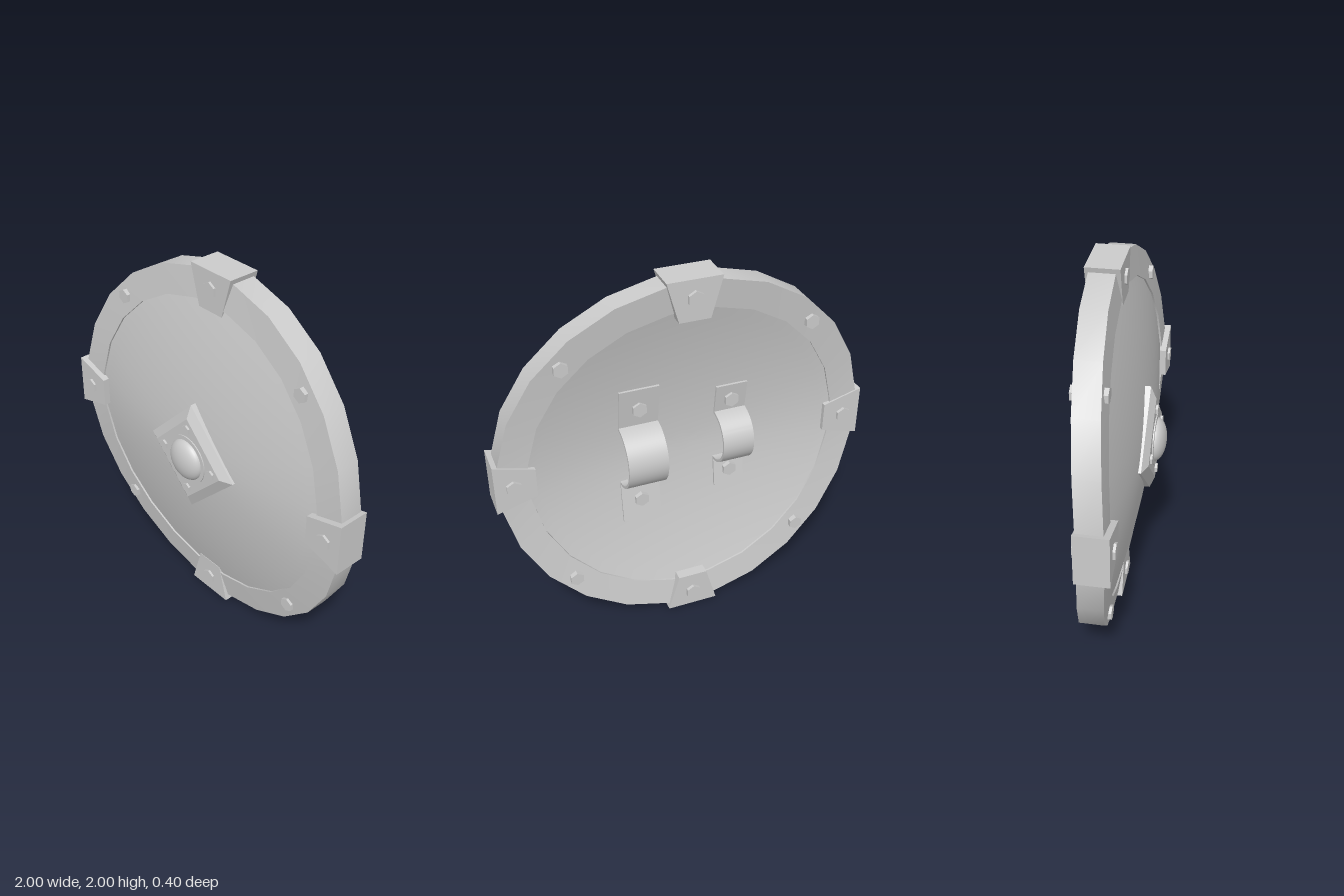
import * as THREE from 'three';
import { toCreasedNormals } from 'three/addons/utils/BufferGeometryUtils.js';

const material = new THREE.MeshStandardMaterial({ color: 0xcccccc });
const SIDES = 24;
const CENTRE_Y = 1;

// The whole shield bows backwards towards its top and bottom.
const bend = (y) => -0.1 * Math.pow(Math.abs(y), 1.5);

function bendGeometry(geometry) {
  const p = geometry.attributes.position;
  for (let i = 0; i < p.count; i++) p.setZ(i, p.getZ(i) + bend(p.getY(i)));
  return geometry;
}

// Revolves a list of [radius, z] about the z axis.
function turned(profile, sides) {
  const points = profile.map(([r, z]) => new THREE.Vector2(r, z));
  return new THREE.LatheGeometry(points, sides, Math.PI / sides).rotateX(Math.PI / 2);
}

export function createModel() {
  const model = new THREE.Group();
  model.name = 'roundShield';
  const shield = new THREE.Group();
  shield.name = 'shield';
  shield.position.y = CENTRE_Y;
  model.add(shield);

  function add(name, geometry, x = 0, y = 0, z = 0) {
    const mesh = new THREE.Mesh(geometry, material);
    mesh.name = name;
    mesh.position.set(x, y, z);
    shield.add(mesh);
    return mesh;
  }

  // Hexagonal bolt running from z0 to z1
  function bolt(name, x, y, z0, z1, radius) {
    const g = new THREE.CylinderGeometry(radius, radius, z1 - z0, 6).rotateX(Math.PI / 2);
    add(name, toCreasedNormals(g, 0.5), x, y, (z0 + z1) / 2);
  }

  // Domed body: back face from the centre out, then front face back in
  const back = [], front = [];
  const RINGS = 12, BODY_RADIUS = 0.85;
  for (let i = 0; i <= RINGS; i++) {
    const r = (BODY_RADIUS * i) / RINGS;
    const drop = 0.06 * (r / 0.83) ** 2;
    back.push([r, -drop]);
    front.unshift([r, 0.11 - drop]);
  }
  add('body', toCreasedNormals(bendGeometry(turned([...back, ...front], SIDES)), 0.6));

  // Rim
  const rim = turned([[0.83, -0.07], [0.983, -0.07], [0.983, 0.06], [0.83, 0.06], [0.83, -0.07]], SIDES);
  add('rim', toCreasedNormals(bendGeometry(rim), 0.6));

  // Four tapered clamps over the rim, each with a bolt through it
  const wedge = new THREE.Shape([
    new THREE.Vector2(-0.08, 0.79), new THREE.Vector2(0.08, 0.79),
    new THREE.Vector2(0.14, 1), new THREE.Vector2(-0.14, 1),
  ]);
  for (let i = 0; i < 4; i++) {
    const a = (i * Math.PI) / 2;
    const x = -Math.sin(a) * 0.905, y = Math.cos(a) * 0.905;
    const z = bend(Math.cos(a));
    const g = new THREE.ExtrudeGeometry(wedge, { depth: 0.17, bevelEnabled: false });
    g.translate(0, 0, -0.085).rotateZ(a);
    add('clamp', g, 0, 0, z + 0.002);
    bolt('clampBolt', x, y, z - 0.1, z + 0.1, 0.042);
  }

  // Rim bolts between the clamps
  for (const sx of [-1, 1]) {
    for (const sy of [-1, 1]) {
      const z = bend(0.64) - 0.007;
      bolt('rimBolt', sx * 0.64, sy * 0.64, z - 0.088, z + 0.085, 0.039);
    }
  }

  // Bevelled diamond plate; four-sided turning starts on a corner
  const plate = turned([[0.315, 0.05], [0.315, 0.115], [0.245, 0.143], [0, 0.143]], 4);
  plate.rotateZ(Math.PI / 4);
  add('bossPlate', toCreasedNormals(plate, 0.2));

  // Collar and domed boss
  add('bossCollar', toCreasedNormals(turned([[0.137, 0.13], [0.137, 0.149], [0, 0.149]], 32), 0.5));
  const dome = new THREE.SphereGeometry(0.115, 32, 10, 0, Math.PI * 2, 0, Math.PI / 2);
  dome.rotateX(Math.PI / 2).scale(1, 1, 0.5);
  add('bossDome', dome, 0, 0, 0.143);

  // Boss bolts
  for (const [x, y] of [[1, 0], [-1, 0], [0, 1], [0, -1]]) {
    bolt('bossBolt', x * 0.182, y * 0.182, 0.12, 0.155, 0.027);
  }

  // Arm strap and hand grip: an arched band with a bolted foot at each end
  function strap(name, x, width, radius, reach, boltY) {
    const outer = (y) => 0.002 + 0.15 * y;
    const thick = 0.014, inner = radius - thick, c = 0.012;
    const tip = Math.asin(0.99);
    const s = new THREE.Shape();
    s.moveTo(outer(reach), reach);
    s.lineTo(outer(radius), radius);
    s.absarc(c, 0, radius, tip, -tip, true);
    s.lineTo(outer(radius), -radius);
    s.lineTo(outer(reach), -reach);
    s.lineTo(outer(reach) - thick, -reach);
    s.lineTo(c, -inner);
    s.absarc(c, 0, inner, -Math.PI / 2, Math.PI / 2, false);
    s.lineTo(outer(reach) - thick, reach);
    const g = new THREE.ExtrudeGeometry(s, { depth: width, bevelEnabled: false, curveSegments: 20 });
    g.translate(0, 0, -width / 2).rotateY(Math.PI / 2);
    add(name, toCreasedNormals(g, 0.5), x);
    for (const side of [-1, 1]) {
      const z = -outer(boltY);
      bolt(name + 'Bolt', x, side * boltY, z - 0.02, z + 0.02, 0.04);
    }
  }
  strap('armStrap', 0.24, 0.21, 0.175, 0.4, 0.28);
  strap('handGrip', -0.26, 0.17, 0.15, 0.31, 0.22);

  return model;
}
